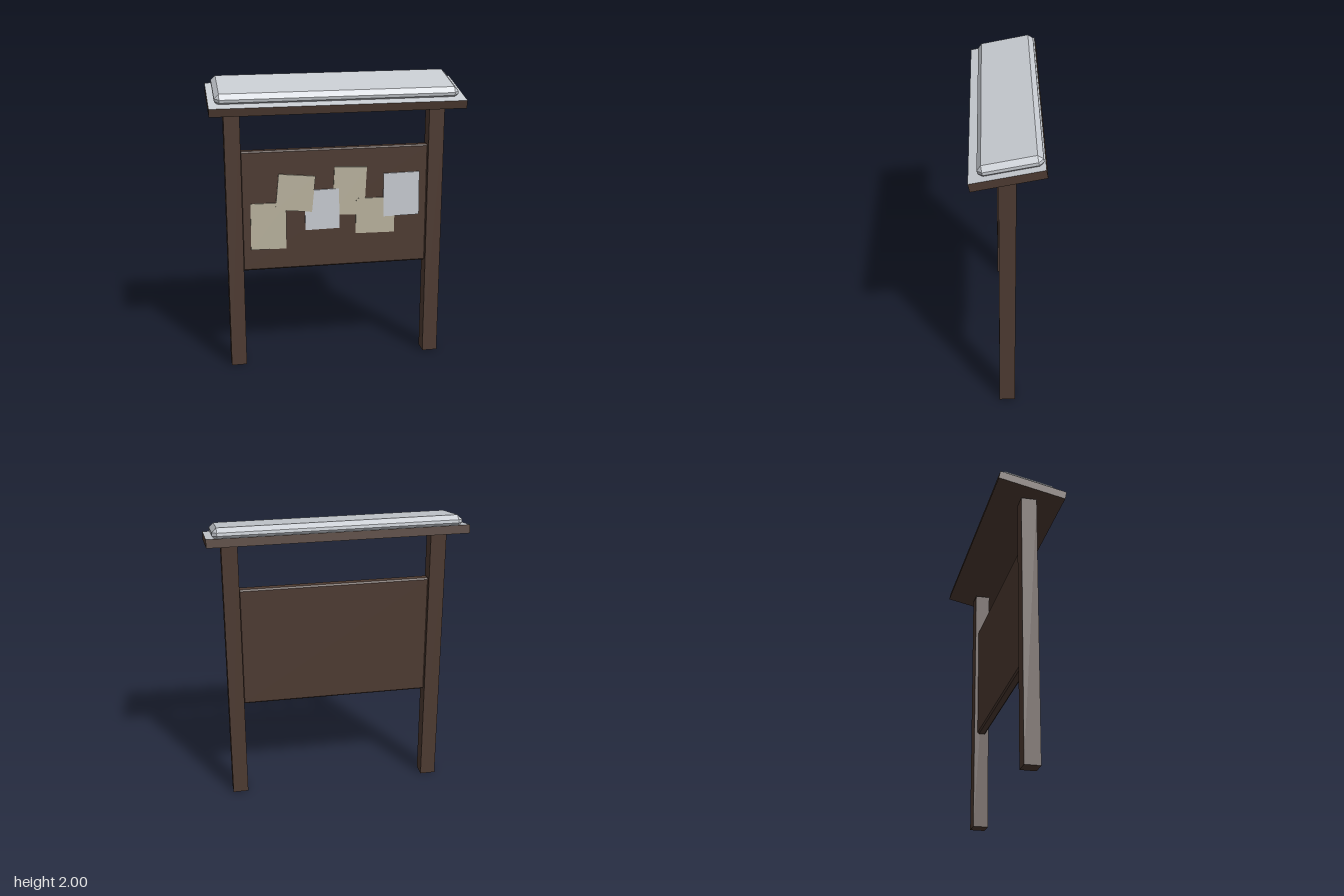
import * as THREE from 'three';
import { ConvexGeometry } from 'three/addons/geometries/ConvexGeometry.js';

const material = (name, color) => {
  const m = new THREE.MeshStandardMaterial({ color });
  m.name = name;
  return m;
};

// Box with a single flat chamfer on every edge
function chamferBox(w, h, d, b) {
  const x = w / 2, y = h / 2, z = d / 2, points = [];
  for (const i of [-1, 1]) for (const j of [-1, 1]) for (const k of [-1, 1]) {
    points.push(
      new THREE.Vector3(i * x, j * (y - b), k * (z - b)),
      new THREE.Vector3(i * (x - b), j * y, k * (z - b)),
      new THREE.Vector3(i * (x - b), j * (y - b), k * z)
    );
  }
  return new ConvexGeometry(points);
}

export function createModel() {
  const model = new THREE.Group();
  model.name = 'noticeBoard';
  const wood = material('darkWood', 0x4e3b32);
  const snow = material('snow', 0xc8ccd2);
  const tan = material('tanPaper', 0xb9b29e);

  const add = (name, geometry, mat, x, y, z, parent = model) => {
    const mesh = new THREE.Mesh(geometry, mat);
    mesh.name = name;
    mesh.position.set(x, y, z);
    parent.add(mesh);
    return mesh;
  };

  // Posts
  for (const [name, s] of [['leftPost', 1], ['rightPost', -1]]) {
    add(name, new THREE.BoxGeometry(0.105, 1.833, 0.104), wood, s * 0.6875, 0.9165, 0);
  }

  // Board between the posts
  add('board', chamferBox(1.28, 0.835, 0.06, 0.01), wood, 0, 1.1075, 0);

  // Pinned papers: name, material, x, y, width, height, turn, layer
  const papers = [
    ['lowLeftPaper', tan, -0.46, 1.003, 0.24, 0.325, -0.01, 0],
    ['squarePaper', tan, -0.275, 1.228, 0.25, 0.25, -0.1, 1],
    ['middlePaper', snow, -0.093, 1.104, 0.235, 0.28, 0.015, 0],
    ['tallPaper', tan, 0.095, 1.225, 0.222, 0.335, -0.05, -1],
    ['widePaper', tan, 0.275, 1.043, 0.27, 0.25, -0.015, 0],
    ['endPaper', snow, 0.456, 1.185, 0.25, 0.305, 0.012, 1]
  ];
  for (const [name, mat, x, y, w, h, turn, layer] of papers) {
    const paper = add(name, new THREE.BoxGeometry(w, h, 0.009), mat, x, y, 0.035 + layer * 0.001);
    paper.rotation.z = turn;
  }

  // Sloping roof, its top face dusted with snow
  const roof = new THREE.Group();
  roof.name = 'roof';
  roof.position.set(0, 1.873, 0);
  roof.rotation.x = 0.2;
  model.add(roof);
  add('roofPlank', new THREE.BoxGeometry(1.68, 0.055, 0.454),
    [wood, wood, snow, wood, wood, wood], 0, 0, 0, roof);

  // Thick snow layer, slightly sunk into the roof
  add('snowSlab', chamferBox(1.6, 0.08, 0.388, 0.03), snow, 0, 0.0515, -0.026, roof);

  return model;
}
